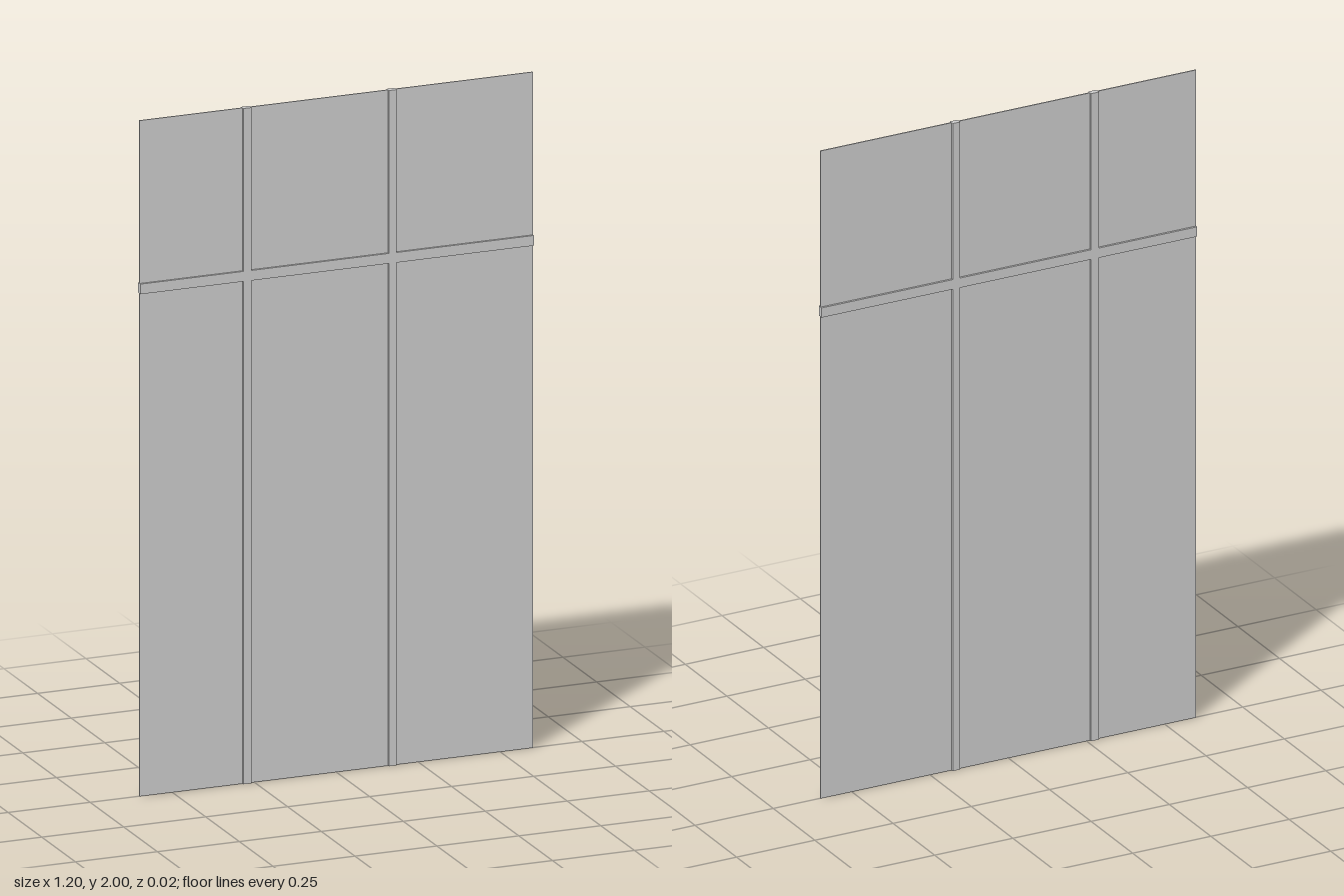
import * as THREE from 'three';

export function createModel() {
  const model = new THREE.Group();
  const material = new THREE.MeshStandardMaterial({ color: 0xcccccc });
  const width = 1.2, height = 2, barDepth = 0.017, paneDepth = 0.004;

  // Box given by its limits in x and y, centred on z = 0
  function addBox(name, x0, x1, y0, y1, depth) {
    const mesh = new THREE.Mesh(new THREE.BoxGeometry(x1 - x0, y1 - y0, depth), material);
    mesh.name = name;
    mesh.position.set((x0 + x1) / 2, (y0 + y1) / 2, 0);
    model.add(mesh);
  }

  // Thin pane
  addBox('pane', -width / 2, width / 2, 0, height, paneDepth);

  // Horizontal bar, standing out on both faces
  const barBottom = 1.488, barTop = 1.518;
  addBox('transom', -width / 2, width / 2, barBottom, barTop, barDepth);

  // Vertical bars, interrupted by the horizontal bar
  const mullions = [
    { side: 'right', x0: -0.286, x1: -0.261 },
    { side: 'left', x0: 0.158, x1: 0.181 },
  ];
  for (const { side, x0, x1 } of mullions) {
    addBox(`${side}LowerMullion`, x0, x1, 0, barBottom, barDepth);
    addBox(`${side}UpperMullion`, x0, x1, barTop, height, barDepth);
  }

  return model;
}
